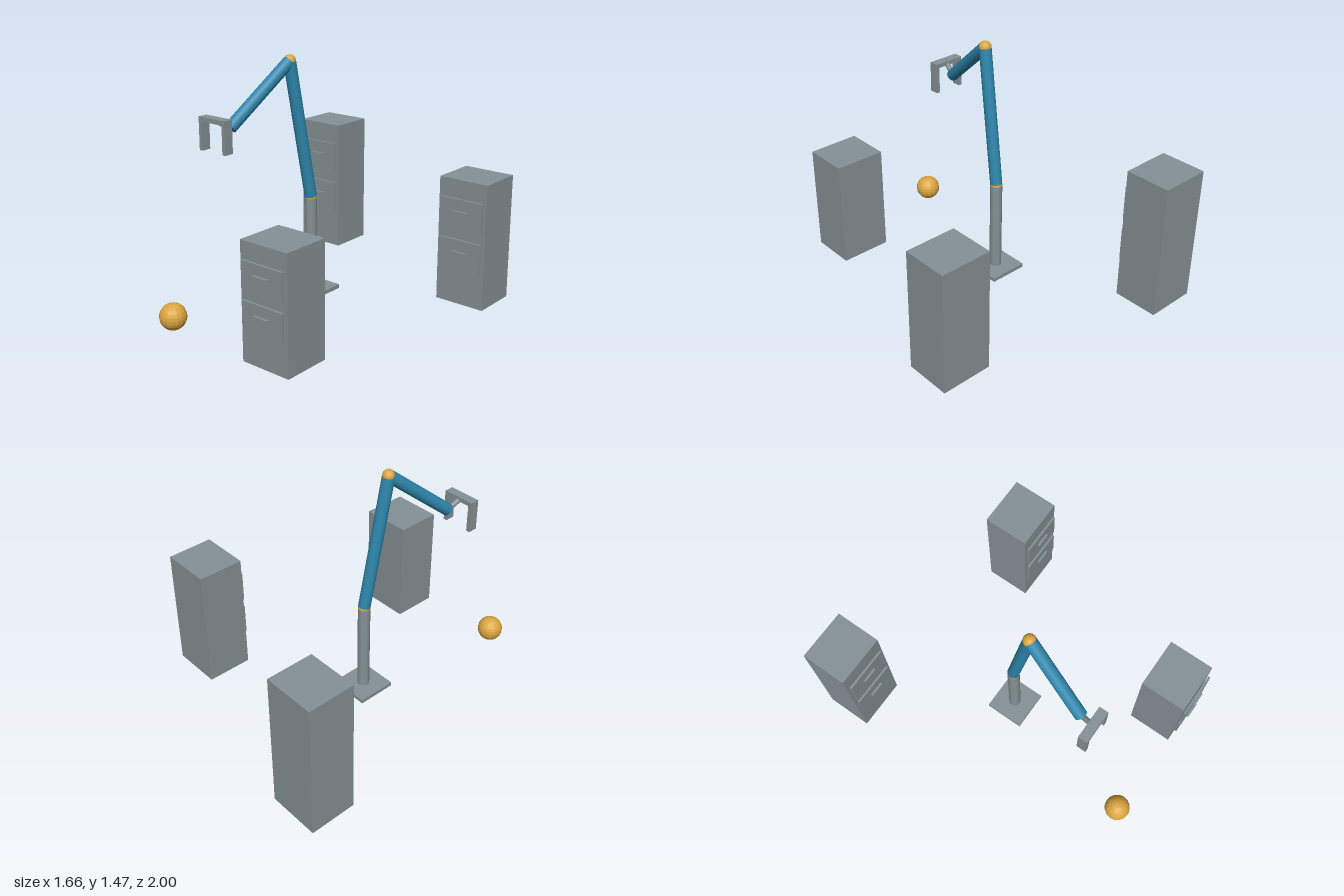
import * as THREE from 'three';

const grey = new THREE.MeshStandardMaterial({ name: 'slateGrey', color: 0x849195 });
const blue = new THREE.MeshStandardMaterial({ name: 'armBlue', color: 0x2e86ab });
const gold = new THREE.MeshStandardMaterial({ name: 'jointGold', color: 0xdca640 });

function add(parent, name, geometry, material, x = 0, y = 0, z = 0) {
  const mesh = new THREE.Mesh(geometry, material);
  mesh.name = name;
  mesh.position.set(x, y, z);
  parent.add(mesh);
  return mesh;
}

const box = (w, h, d) => new THREE.BoxGeometry(w, h, d);

// Faceted ball
function facetedSphere(radius) {
  const geometry = new THREE.SphereGeometry(radius, 16, 12).toNonIndexed();
  geometry.computeVertexNormals();
  return geometry;
}

// Straight cylinder between two points
function rod(parent, name, from, to, radius, material) {
  const direction = to.clone().sub(from);
  const mesh = add(parent, name, new THREE.CylinderGeometry(radius, radius, direction.length(), 24), material);
  mesh.position.copy(from).add(to).multiplyScalar(0.5);
  mesh.quaternion.setFromUnitVectors(new THREE.Vector3(0, 1, 0), direction.normalize());
  return mesh;
}

// Cabinet with two drawer fronts standing just clear of the body
function cabinet(name, x, front, height) {
  const group = new THREE.Group();
  group.name = name;
  group.position.set(x, 0, front);
  const depth = 0.286;
  add(group, 'cabinetBody', box(0.319, height, depth), grey, 0, height / 2, -depth / 2);
  for (const level of [0.406, 0.729]) {
    add(group, 'drawerFront', box(0.279, height * 0.25, 0.013), grey, 0, height * level, 0.0125);
    add(group, 'drawerHandle', box(0.096, 0.014, 0.016), grey, 0, height * (level + 0.024), 0.025);
  }
  return group;
}

// Jointed arm on a post, ending in a two-fingered gripper
function robotArm() {
  const group = new THREE.Group();
  group.name = 'robotArm';
  const foot = new THREE.Vector3(-0.158, 0.02, -0.013);
  const shoulder = new THREE.Vector3(-0.158, 0.6, -0.013);
  const elbow = new THREE.Vector3(-0.19, 1.437, 0.128);
  const wrist = new THREE.Vector3(-0.28, 1.104, 0.524);
  const palm = new THREE.Vector3(-0.303, 1.159, 0.615);
  const r = 0.037;

  add(group, 'basePlate', box(0.245, 0.024, 0.245), grey, foot.x, 0.012, foot.z);
  rod(group, 'post', foot, shoulder, r, grey);
  rod(group, 'upperArm', shoulder, elbow, r, blue);
  rod(group, 'forearm', elbow, wrist, r, blue);
  for (const [name, p] of [['shoulderJoint', shoulder], ['elbowJoint', elbow]]) {
    add(group, name, new THREE.SphereGeometry(0.0375, 24, 16), gold, p.x, p.y, p.z);
  }

  // Gripper
  rod(group, 'wristRod', wrist, palm, 0.016, grey);
  add(group, 'gripperBar', box(0.202, 0.027, 0.058), grey, palm.x, palm.y, palm.z);
  for (const side of [-1, 1]) {
    add(group, 'gripperFinger', box(0.023, 0.166, 0.058), grey, palm.x + side * 0.0895, 1.063, palm.z);
  }
  return group;
}

export function createModel() {
  const model = new THREE.Group();
  model.name = 'armWithCabinets';
  model.add(robotArm());
  model.add(cabinet('tallCabinet', -0.675, -0.714, 0.857));
  model.add(cabinet('middleCabinet', 0.669, -0.4, 0.767));
  model.add(cabinet('shortCabinet', 0.358, 0.946, 0.678));
  add(model, 'ball', facetedSphere(0.079), gold, -0.373, 0.079, 0.921);
  return model;
}
